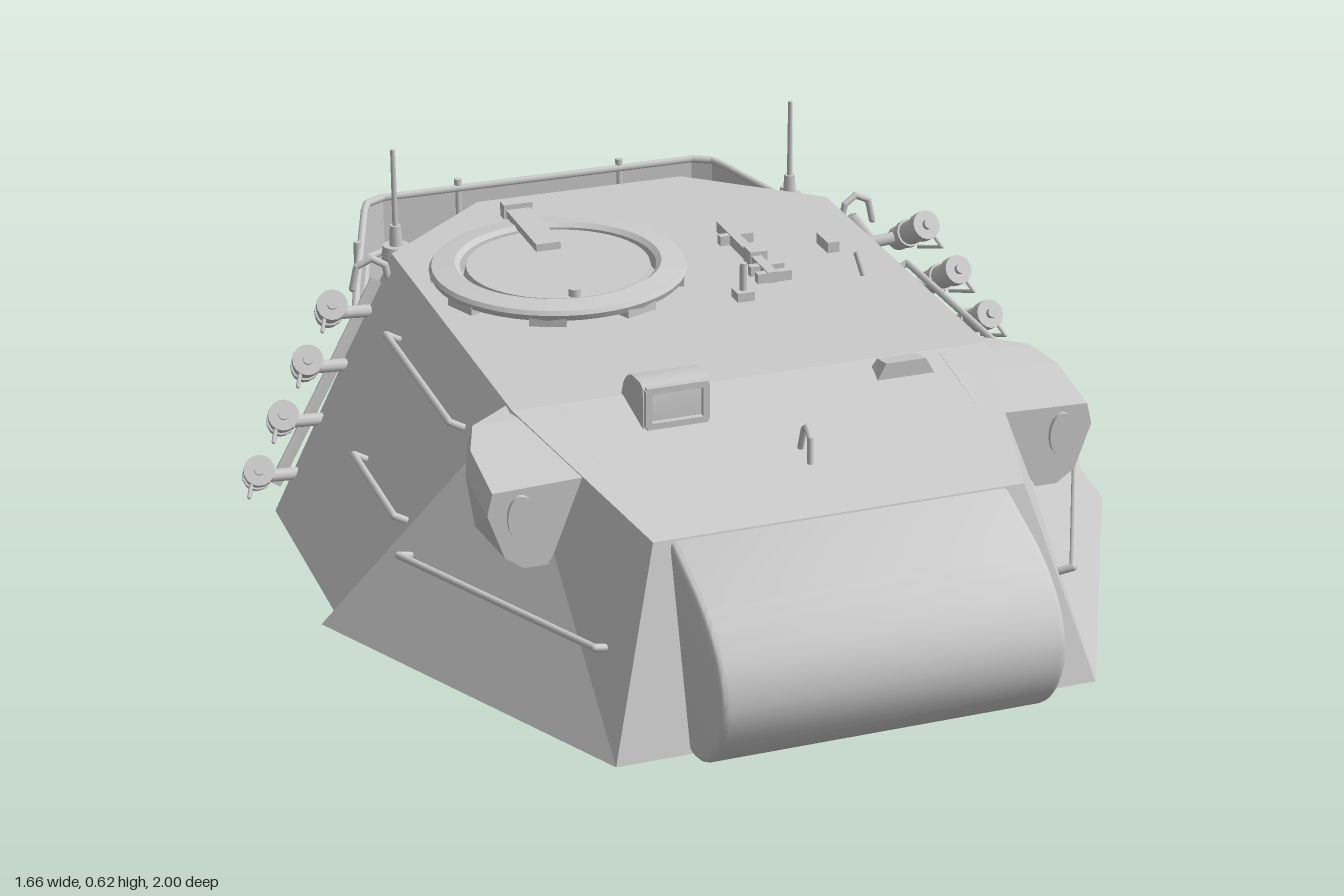
import * as THREE from 'three';
import { toCreasedNormals } from 'three/addons/utils/BufferGeometryUtils.js';

const mat = new THREE.MeshStandardMaterial({ color: 0xcccccc });
const flat = new THREE.MeshStandardMaterial({ color: 0xcccccc, flatShading: true });
const thin = new THREE.MeshStandardMaterial({ color: 0xcccccc, flatShading: true, side: THREE.DoubleSide });
const V = (x, y, z) => new THREE.Vector3(x, y, z);
const UP = V(0, 1, 0);

export function createModel() {
  const root = new THREE.Group();

  const add = (name, geo, x = 0, y = 0, z = 0, parent = root, m = mat) => {
    const mesh = new THREE.Mesh(geo, m);
    mesh.name = name;
    mesh.position.set(x, y, z);
    parent.add(mesh);
    return mesh;
  };
  const group = (name, parent = root) => {
    const g = new THREE.Group();
    g.name = name;
    parent.add(g);
    return g;
  };
  const box = (name, w, h, d, x, y, z, parent) => add(name, new THREE.BoxGeometry(w, h, d), x, y, z, parent);
  const disc = (name, r1, r2, h, x, y, z, parent, n = 24) =>
    add(name, new THREE.CylinderGeometry(r1, r2, h, n), x, y, z, parent);

  // Straight round bar between two points
  const rod = (name, a, b, r, parent = root, n = 8) => {
    const d = b.clone().sub(a);
    const mesh = add(name, new THREE.CylinderGeometry(r, r, d.length(), n), 0, 0, 0, parent);
    mesh.position.copy(a).add(b).multiplyScalar(0.5);
    mesh.quaternion.setFromUnitVectors(UP, d.normalize());
    return mesh;
  };
  // Bent bar through several points, with round joints
  const rail = (name, pts, r, parent = root) => {
    const g = group(name, parent);
    pts.forEach((p, i) => {
      if (i) rod(name + 'Bar', pts[i - 1], p, r, g);
      add(name + 'Joint', new THREE.SphereGeometry(r, 8, 6), p.x, p.y, p.z, g);
    });
    return g;
  };

  // Solid from polygons, each turned to face away from a centre
  const solid = (polys, centre) => {
    const out = [];
    for (const p of polys) {
      const n = p[1].clone().sub(p[0]).cross(p[2].clone().sub(p[0]));
      const mid = p.reduce((s, q) => s.add(q), V(0, 0, 0)).divideScalar(p.length);
      const q = n.dot(mid.sub(centre)) < 0 ? [...p].reverse() : p;
      for (let i = 1; i < q.length - 1; i++) for (const v of [q[0], q[i], q[i + 1]]) out.push(v.x, v.y, v.z);
    }
    const geo = new THREE.BufferGeometry();
    geo.setAttribute('position', new THREE.Float32BufferAttribute(out, 3));
    geo.computeVertexNormals();
    return geo;
  };
  const loft = (rings, centre) => {
    const polys = [rings[0], rings[rings.length - 1]];
    for (let k = 1; k < rings.length; k++)
      rings[k].forEach((p, i) => {
        const j = (i + 1) % rings[k].length;
        polys.push([rings[k - 1][i], rings[k - 1][j], rings[k][j]], [rings[k - 1][i], rings[k][j], p]);
      });
    return solid(polys, centre);
  };

  // Armoured shell: plates of one half, mirrored
  const roofF = V(.46, .44, .31), sideF = V(.46, .44, .28), roofB = V(.46, .44, -.49), tail = V(.22, .44, -.705);
  const nose = V(.345, .36, .74), noseLow = V(.45, 0, .845), cheekLow = V(.79, 0, .165), sideLowF = V(.755, 0, .135);
  const sideLowB = V(.755, 0, -.33), tailLow = V(.2, .1, -.79), belly = V(.2, 0, -.6);
  const c = (p) => V(0, p.y, p.z);
  const half = [
    [c(roofF), roofF, sideF, roofB, tail, c(tail)],
    [c(nose), nose, roofF, c(roofF)],
    [c(noseLow), noseLow, nose, c(nose)],
    [noseLow, cheekLow, roofF], [noseLow, roofF, nose],
    [cheekLow, sideLowF, sideF, roofF],
    [sideLowF, sideLowB, roofB, sideF],
    [sideLowB, tailLow, tail], [sideLowB, tail, roofB],
    [tailLow, c(tailLow), c(tail), tail],
    [belly, c(belly), c(tailLow), tailLow],
    [sideLowB, belly, tailLow],
    [c(noseLow), noseLow, cheekLow, sideLowF, sideLowB, belly, c(belly)],
  ];
  const flip = (p) => V(-p.x, p.y, p.z);
  add('turretShell', solid([...half, ...half.map((f) => f.map(flip))], V(0, .2, 0)), 0, 0, 0, root, flat);

  // Rounded gun mantlet
  const prof = new THREE.Shape();
  prof.moveTo(.7, .012);
  prof.lineTo(.85, .012);
  prof.bezierCurveTo(.91, .01, .99, .08, .988, .16);
  prof.bezierCurveTo(.985, .24, .91, .28, .86, .303);
  prof.lineTo(.74, .345);
  prof.lineTo(.7, .345);
  const mantlet = new THREE.ExtrudeGeometry(prof, {
    depth: .606, bevelEnabled: true, bevelSize: .012, bevelThickness: .012, bevelSegments: 3, curveSegments: 14,
  });
  mantlet.rotateY(-Math.PI / 2).scale(1, 1, 1).translate(.303, 0, 0);
  add('mantlet', toCreasedNormals(mantlet, .6));

  // Rear round port on the back plate
  const port = disc('rearPort', .075, .075, .012, 0, .3, -.743);
  port.rotation.x = -Math.PI / 2 + .245;

  // Cupola with periscope blocks, ring, lid and latch
  const cupola = group('cupola');
  cupola.position.set(-.19, .44, -.26);
  const ring = [[.19, 0], [.245, .012], [.25, .024], [.245, .032], [.2, .038], [.19, .03], [.19, 0]];
  add('cupolaRing', toCreasedNormals(new THREE.LatheGeometry(ring.map((p) => new THREE.Vector2(...p)), 48), .5), 0, 0, 0, cupola);
  disc('hatchLid', .178, .185, .03, 0, .015, 0, cupola, 48);
  for (let i = 0; i < 8; i++) {
    const a = (i + .5) * Math.PI / 4;
    box('periscopeBlock', .07, .026, .04, Math.sin(a) * .225, .012, Math.cos(a) * .225, cupola).rotation.y = a;
  }
  box('hatchLatch', .05, .015, .22, 0, .042, -.17, cupola);
  box('latchHinge', .06, .03, .025, 0, .045, -.27, cupola);
  disc('lidKnob', .012, .012, .02, -.02, .035, .165, cupola, 12);

  // Sight hood: rounded back, recessed window
  const hood = group('sightHood');
  const hs = new THREE.Shape();
  hs.moveTo(.42, .41); hs.lineTo(.42, .49); hs.quadraticCurveTo(.42, .503, .4, .503);
  hs.lineTo(.36, .5); hs.quadraticCurveTo(.31, .485, .3, .43); hs.lineTo(.3, .41);
  const hg = new THREE.ExtrudeGeometry(hs, { depth: .125, bevelEnabled: false, curveSegments: 8 });
  hg.rotateY(-Math.PI / 2).translate(-.127, 0, 0);
  add('hoodBody', toCreasedNormals(hg, .5), 0, 0, 0, hood);
  for (const s of [-1, 1]) {
    box('windowSide', .012, .07, .012, -.19 + s * .054, .46, .425, hood);
    box('windowEdge', .115, .012, .012, -.19, .46 + s * .034, .425, hood);
  }

  // Smaller periscope on the other side
  const peri = (z, y, w) => [V(.27 - w, .42, z), V(.27 + w, .42, z), V(.27 + w * .65, y, z), V(.27 - w * .65, y, z)];
  add('periscope', loft([peri(.335, .45, .06), peri(.38, .458, .06)], V(.27, .44, .36)), 0, 0, 0, root, flat);

  // Small roof fittings
  rail('noseEye', [V(0, .385, .59), V(0, .435, .588), V(0, .45, .572), V(0, .44, .558), V(0, .39, .54)], .006);
  const mount = group('roofMount');
  box('mountBar', .02, .022, .29, .19, .453, -.235, mount);
  for (const z of [-.31, -.14, -.1]) box('mountCross', .07, .02, .016, .195, .452, z, mount);
  box('mountClamp', .035, .03, .04, .195, .457, -.2, mount);
  const stud = group('roofStud');
  box('studBase', .035, .02, .035, .11, .448, -.04, stud);
  disc('studPin', .007, .007, .06, .11, .483, -.04, stud, 10);
  box('roofCatch', .025, .024, .06, .36, .45, -.23);
  rod('roofPin', V(.37, .44, -.07), V(.36, .485, -.085), .006);

  // Stowage basket: outline runs from the right side round the back
  const edge = [[.54, -.48], [.505, -.6], [.46, -.74], [.4, -.93], [.385, -.965], [.345, -.985]];
  const outline = [...edge.map(([x, z]) => [-x, z]), ...[...edge].reverse()];
  const topY = (z) => .365 - .06 * (z + .98);
  const midY = (z) => .245 - .08 * (z + .98);
  const lowY = (z) => .17 - .27 * (z + .98);
  const basket = group('stowageBasket');
  const panel = outline.slice(1, -1);
  const wall = [];
  panel.forEach(([x, z], i) => {
    if (!i) return;
    const [u, w] = panel[i - 1];
    wall.push([V(u, lowY(w), w), V(x, lowY(z), z), V(x, topY(z), z), V(u, topY(w), w)]);
  });
  add('basketWall', solid(wall, V(0, .25, -.7)), 0, 0, 0, basket, thin);
  const floor = [];
  for (let i = 1; i < 5; i++) {
    const [[x, z], [u, w]] = [edge[i], edge[i + 1]];
    floor.push([V(x, lowY(z), z), V(u, lowY(w), w), V(-u, lowY(w), w), V(-x, lowY(z), z)]);
  }
  add('basketFloor', solid(floor.slice(1), V(0, .5, -.8)), 0, 0, 0, basket, thin);
  for (const s of [-1, 1])
    add('floorCorner', solid([[V(s * .505, lowY(-.6), -.6), V(s * .46, lowY(-.74), -.74), V(s * .2, .1, -.74)]], V(0, .5, -.7)), 0, 0, 0, basket, thin);
  for (const [name, fy] of [['topRail', topY], ['middleRail', midY]])
    rail(name, outline.map(([x, z]) => V(x, fy(z), z)), .008, basket);
  rail('bottomRail', panel.map(([x, z]) => V(x, lowY(z), z)), .008, basket);
  for (const s of [-1, 1])
    for (const [x, z] of [[.465, -.745], [.18, -.988]]) {
      rod('basketPost', V(s * x, lowY(z) - .005, z), V(s * x, topY(z) + .02, z), .008, basket);
      rod('floorRib', V(s * x, lowY(z), z), V(s * Math.min(x, .18), .1, -.75), .008, basket);
    }

  // Paired parts on both sides
  for (const s of [1, -1]) {
    const side = group(s > 0 ? 'leftFittings' : 'rightFittings');
    const P = (x, y, z) => V(s * x, y, z);

    // Cheek housing with an oval lens
    const sec = [
      [.53, [.36, .24], [.36, .399], [.565, .392], [.575, .35], [.545, .265], [.51, .24]],
      [.4, [.36, .24], [.36, .424], [.565, .418], [.575, .37], [.56, .27], [.53, .24]],
      [.33, [.36, .29], [.36, .437], [.54, .432], [.55, .4], [.545, .31], [.52, .29]],
      [.27, [.36, .34], [.36, .438], [.45, .438], [.46, .42], [.47, .36], [.45, .34]],
    ].map(([z, ...pts]) => pts.map(([x, y]) => P(x, y, z)));
    add('cheekHousing', loft(sec, P(.44, .34, .42)), 0, 0, 0, side, flat);
    const lens = disc('cheekLens', .025, .025, .012, s * .515, .34, .532, side);
    lens.rotation.x = Math.PI / 2;
    lens.scale.z = 1.7;

    // Grab rails on the side and front plates
    const grab = (name, a, b, inward) =>
      rail(name, [a.clone().add(inward), a, b, b.clone().add(inward)], .007, side);
    grab('upperGrabRail', P(.54, .375, .18), P(.54, .375, -.25), P(-.035, -.02, 0));
    grab('lowerGrabRail', P(.65, .205, .18), P(.65, .205, -.1), P(-.035, -.02, 0));
    grab('frontGrabRail', P(.45, .175, .735), P(.67, .175, .28), P(-.035, -.015, -.018));

    // Lifting eye behind the roof edge
    rail('liftingEye', [P(.48, .41, -.45), P(.485, .435, -.45), P(.51, .45, -.455), P(.54, .435, -.46), P(.55, .39, -.46)], .007, side);

    // Four smoke dischargers on a sloping bracket
    const bank = group('smokeDischargers', side);
    for (let i = 0; i < 4; i++) {
      const front = P(.62 + .06 * i, .41 - .094 * i, -.345 + .031 * i);
      const dir = P(.12, .5, .8).normalize();
      const at = (d) => front.clone().addScaledVector(dir, -d);
      rod('dischargerTube', at(0), at(.125), .025, bank, 16);
      rod('dischargerCap', at(-.004), at(.022), .03, bank, 16);
      rod('dischargerCollar', at(.07), at(.085), .029, bank, 16);
      rod('capKnob', at(-.014), at(0), .01, bank, 10);
      rod('dischargerArm', at(.1), at(.1).add(P(-.085, -.01, -.01)), .013, bank);
      rail('capLoop', [at(0).add(P(.015, -.02, 0)), at(-.015).add(P(.025, -.05, .01)), at(.06).add(P(.015, -.035, 0))], .004, bank);
    }
    const bar = rod('dischargerBracket', P(.5, .4, -.465), P(.745, .04, -.365), .022, bank, 4);
    bar.scale.z = .6;

    // Antenna on a bracket at the rear corner
    const aerial = group('antenna', side);
    box('antennaBracket', .1, .012, .06, s * .395, .385, -.59, aerial).rotation.y = s * .7;
    disc('antennaBase', .026, .03, .022, s * .422, .402, -.6, aerial);
    disc('antennaSocket', .011, .014, .05, s * .422, .43, -.6, aerial, 12);
    disc('antennaRod', .005, .006, .17, s * .422, .53, -.6, aerial, 8);
  }
  return root;
}
